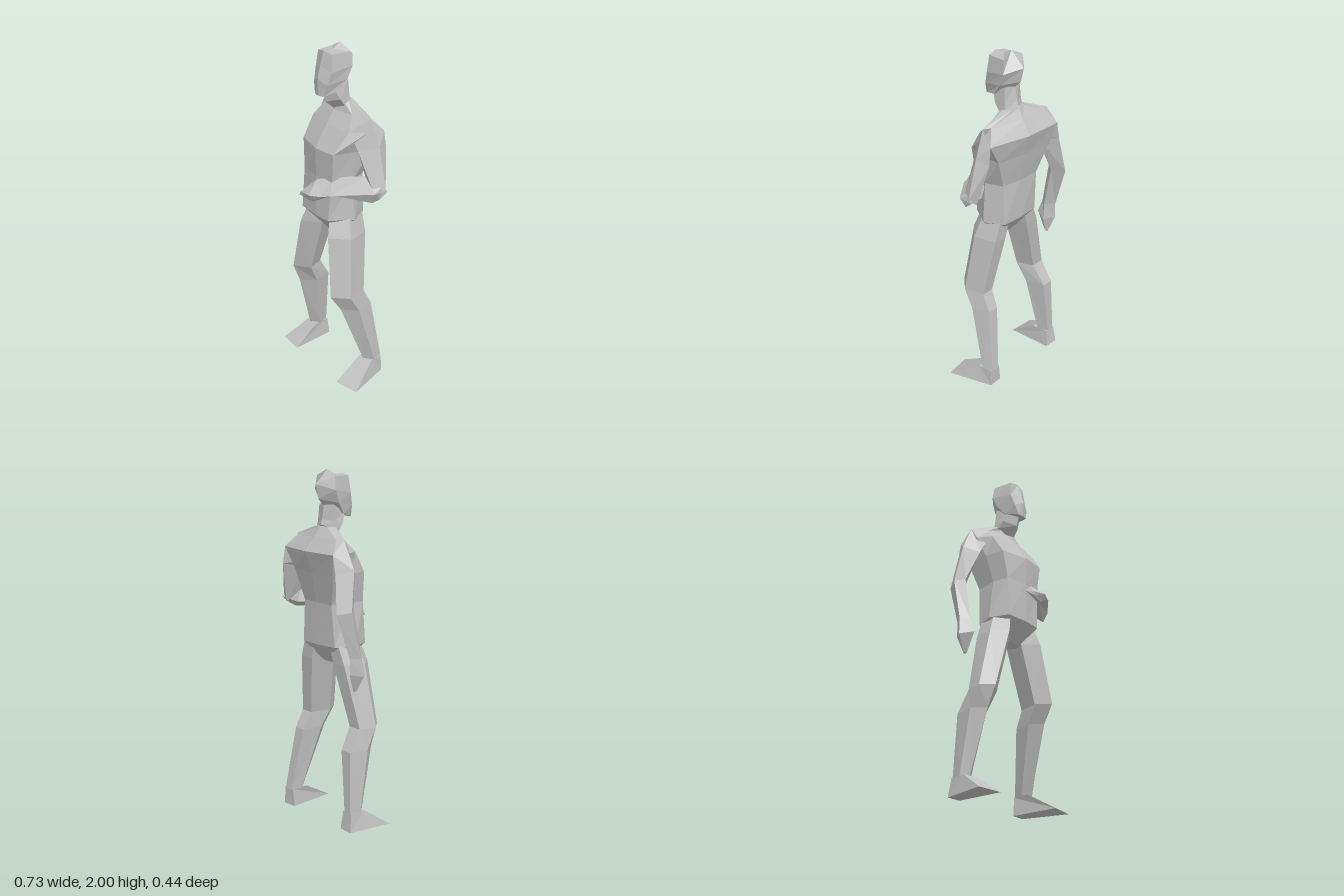
import * as THREE from 'three';

const clay = new THREE.MeshStandardMaterial({ color: 0xbfbfbf });
clay.name = 'plain grey';

// Skin a list of equal-sized rings of [x, y, z], cap both ends, facets kept flat.
function loft(name, rings) {
  const pos = [], n = rings[0].length;
  const tri = (...p) => p.forEach((q) => pos.push(...q));
  for (let r = 0; r + 1 < rings.length; r++) {
    const a = rings[r], b = rings[r + 1];
    for (let i = 0; i < n; i++) {
      const j = (i + 1) % n;
      tri(a[i], a[j], b[j]);
      tri(a[i], b[j], b[i]);
    }
  }
  const cap = (ring, flip) => {
    const c = [0, 1, 2].map((k) => ring.reduce((s, p) => s + p[k], 0) / n);
    for (let i = 0; i < n; i++) {
      const p = ring[i], q = ring[(i + 1) % n];
      if (flip) tri(c, q, p); else tri(c, p, q);
    }
  };
  cap(rings[0], true);
  cap(rings[rings.length - 1], false);

  // Turn the faces outward when the rings run the other way round
  let volume = 0;
  const v = (i) => new THREE.Vector3().fromArray(pos, i);
  for (let i = 0; i < pos.length; i += 9) volume += v(i).dot(v(i + 3).cross(v(i + 6)));
  if (volume < 0) {
    for (let i = 0; i < pos.length; i += 9) {
      for (let k = 3; k < 6; k++) [pos[i + k], pos[i + k + 3]] = [pos[i + k + 3], pos[i + k]];
    }
  }
  const geo = new THREE.BufferGeometry();
  geo.setAttribute('position', new THREE.Float32BufferAttribute(pos, 3));
  geo.computeVertexNormals();
  const mesh = new THREE.Mesh(geo, clay);
  mesh.name = name;
  return mesh;
}

// Ring at one height from [x, z] pairs
const level = (y, ...xz) => xz.map(([x, z]) => [x, y, z]);

// Symmetric ring: front centre, front side, back side, back centre
const mirrored = (f, fs, bs, b) => {
  const m = ([x, y, z]) => [-x, y, z];
  return [f, fs, bs, b, m(bs), m(fs)];
};

// Five-sided leg; rows are [y, inner x, outer x, back z, front z], ridge places the front edge
const leg = (name, side, ridge, rows) => {
  const outline = [[ridge, 1], [0, 0.6], [0.25, 0], [0.8, 0], [1, 0.6]];
  return loft(name, rows.map(([y, xi, xo, zb, zf]) =>
    outline.map(([s, t]) => [side * (xi + (xo - xi) * s), y, zb + (zf - zb) * t])));
};

export function createModel() {
  const g = new THREE.Group();
  g.name = 'standing figure';

  // Torso: right, front right, front, front left, left, back left, back, back right
  g.add(loft('torso', [
    level(0.92, [-0.06, 0], [-0.05, 0.03], [0, 0.04], [0.05, 0.03], [0.06, 0], [0.04, -0.035], [0, -0.04], [-0.04, -0.035]),
    level(1.03, [-0.18, 0], [-0.14, 0.115], [0, 0.13], [0.1, 0.125], [0.185, 0], [0.13, -0.11], [0, -0.12], [-0.13, -0.11]),
    level(1.27, [-0.145, 0], [-0.135, 0.1], [0, 0.125], [0.12, 0.11], [0.165, 0], [0.13, -0.1], [0.01, -0.12], [-0.12, -0.125]),
    level(1.44, [-0.175, -0.03], [-0.16, 0.085], [0, 0.13], [0.14, 0.12], [0.18, 0], [0.19, -0.12], [0.01, -0.155], [-0.18, -0.165]),
    level(1.56, [-0.21, -0.07], [-0.165, 0.01], [0, 0.05], [0.17, 0.035], [0.24, -0.03], [0.265, -0.13], [0.02, -0.19], [-0.21, -0.195]),
    level(1.635, [-0.21, -0.115], [-0.13, -0.05], [0, 0], [0.13, -0.02], [0.24, -0.055], [0.2, -0.08], [0.01, -0.135], [-0.17, -0.135]),
    level(1.69, [-0.07, -0.05], [-0.05, -0.025], [0, -0.02], [0.05, -0.025], [0.07, -0.05], [0.05, -0.09], [0, -0.1], [-0.05, -0.09]),
  ]));

  // Neck and head
  g.add(loft('neck', [
    mirrored([0, 1.635, -0.01], [0.07, 1.67, -0.02], [0.07, 1.685, -0.06], [0, 1.7, -0.095]),
    mirrored([0, 1.69, 0.058], [0.068, 1.71, 0.01], [0.066, 1.72, -0.055], [0, 1.73, -0.085]),
    mirrored([0, 1.745, 0.072], [0.055, 1.765, 0.035], [0.06, 1.81, -0.05], [0, 1.81, -0.07]),
  ]));
  g.add(loft('head', [
    mirrored([0, 1.735, 0.108], [0.035, 1.737, 0.1], [0.063, 1.757, 0.02], [0, 1.785, -0.05]),
    mirrored([0, 1.83, 0.11], [0.055, 1.8, 0.09], [0.078, 1.82, -0.03], [0, 1.84, -0.11]),
    mirrored([0, 1.9, 0.092], [0.068, 1.87, 0.068], [0.085, 1.89, -0.06], [0, 1.92, -0.13]),
    mirrored([0, 1.975, 0.068], [0.058, 1.965, 0.058], [0.073, 1.965, -0.055], [0, 2, -0.045]),
  ]));

  // Hanging right arm: outer, front, inner, back
  const rightWrist = [[-0.322, 1, -0.09], [-0.28, 1, -0.05], [-0.245, 1, -0.09], [-0.285, 1, -0.14]];
  g.add(loft('rightArm', [
    [[-0.21, 1.635, -0.116], [-0.165, 1.56, -0.02], [-0.14, 1.5, -0.08], [-0.21, 1.56, -0.195]],
    [[-0.285, 1.48, -0.11], [-0.215, 1.45, -0.04], [-0.175, 1.44, -0.1], [-0.23, 1.46, -0.195]],
    [[-0.31, 1.26, -0.15], [-0.27, 1.27, -0.1], [-0.237, 1.24, -0.14], [-0.265, 1.25, -0.22]],
    rightWrist,
  ]));
  g.add(loft('rightHand', [
    rightWrist,
    [[-0.335, 0.9, -0.08], [-0.27, 0.92, -0.025], [-0.237, 0.9, -0.09], [-0.285, 0.91, -0.14]],
    [[-0.285, 0.81, -0.09], [-0.27, 0.805, -0.08], [-0.26, 0.81, -0.09], [-0.27, 0.805, -0.1]],
  ]));

  // Bent left arm
  g.add(loft('leftUpperArm', [
    [[0.24, 1.635, -0.056], [0.17, 1.56, 0.03], [0.16, 1.48, -0.04], [0.265, 1.56, -0.13]],
    [[0.305, 1.49, -0.065], [0.225, 1.46, 0.015], [0.2, 1.44, -0.04], [0.28, 1.46, -0.135]],
    [[0.365, 1.265, -0.06], [0.33, 1.265, 0], [0.255, 1.29, -0.02], [0.32, 1.225, -0.078]],
  ]));
  // Forearm and hand: top, front, bottom, back
  const leftWrist = [[0.1, 1.29, 0.09], [0.165, 1.22, 0.16], [0.13, 1.2, 0.12], [0.05, 1.25, 0.08]];
  g.add(loft('leftForearm', [
    [[0.35, 1.285, -0.05], [0.365, 1.26, 0], [0.35, 1.21, -0.03], [0.363, 1.25, -0.075]],
    [[0.26, 1.32, -0.02], [0.355, 1.255, 0.01], [0.325, 1.19, 0], [0.25, 1.23, -0.05]],
    leftWrist,
  ]));
  g.add(loft('leftHand', [
    leftWrist,
    [[0.025, 1.265, 0.14], [0.12, 1.205, 0.185], [0.09, 1.175, 0.15], [0, 1.235, 0.12]],
    [[-0.04, 1.185, 0.205], [0.055, 1.2, 0.22], [0.05, 1.155, 0.195], [-0.05, 1.165, 0.205]],
  ]));

  // Legs
  g.add(leg('rightLeg', -1, 0.6, [
    [1.04, 0.03, 0.165, -0.09, 0.1], [0.93, 0.05, 0.215, -0.085, 0.125], [0.58, 0.16, 0.305, -0.055, 0.11],
    [0.46, 0.178, 0.303, -0.13, 0.06], [0.1, 0.225, 0.31, -0.14, -0.035],
  ]));
  g.add(leg('leftLeg', 1, 0.4, [
    [1.04, 0.03, 0.17, -0.09, 0.1], [0.93, 0.05, 0.21, -0.085, 0.135], [0.58, 0.12, 0.257, -0.035, 0.165],
    [0.48, 0.137, 0.262, -0.085, 0.1], [0.1, 0.2, 0.29, -0.14, -0.035],
  ]));

  // Feet: outer toe, inner toe, inner heel, outer heel
  g.add(loft('rightFoot', [
    level(0, [-0.365, 0.105], [-0.215, 0.12], [-0.225, -0.15], [-0.31, -0.155]),
    level(0.105, [-0.31, -0.05], [-0.225, -0.035], [-0.235, -0.14], [-0.3, -0.14]),
  ]));
  g.add(loft('leftFoot', [
    level(0, [0.358, 0.125], [0.21, 0.15], [0.2, -0.135], [0.285, -0.138]),
    level(0.105, [0.29, -0.05], [0.2, -0.035], [0.21, -0.135], [0.28, -0.135]),
  ]));

  return g;
}
